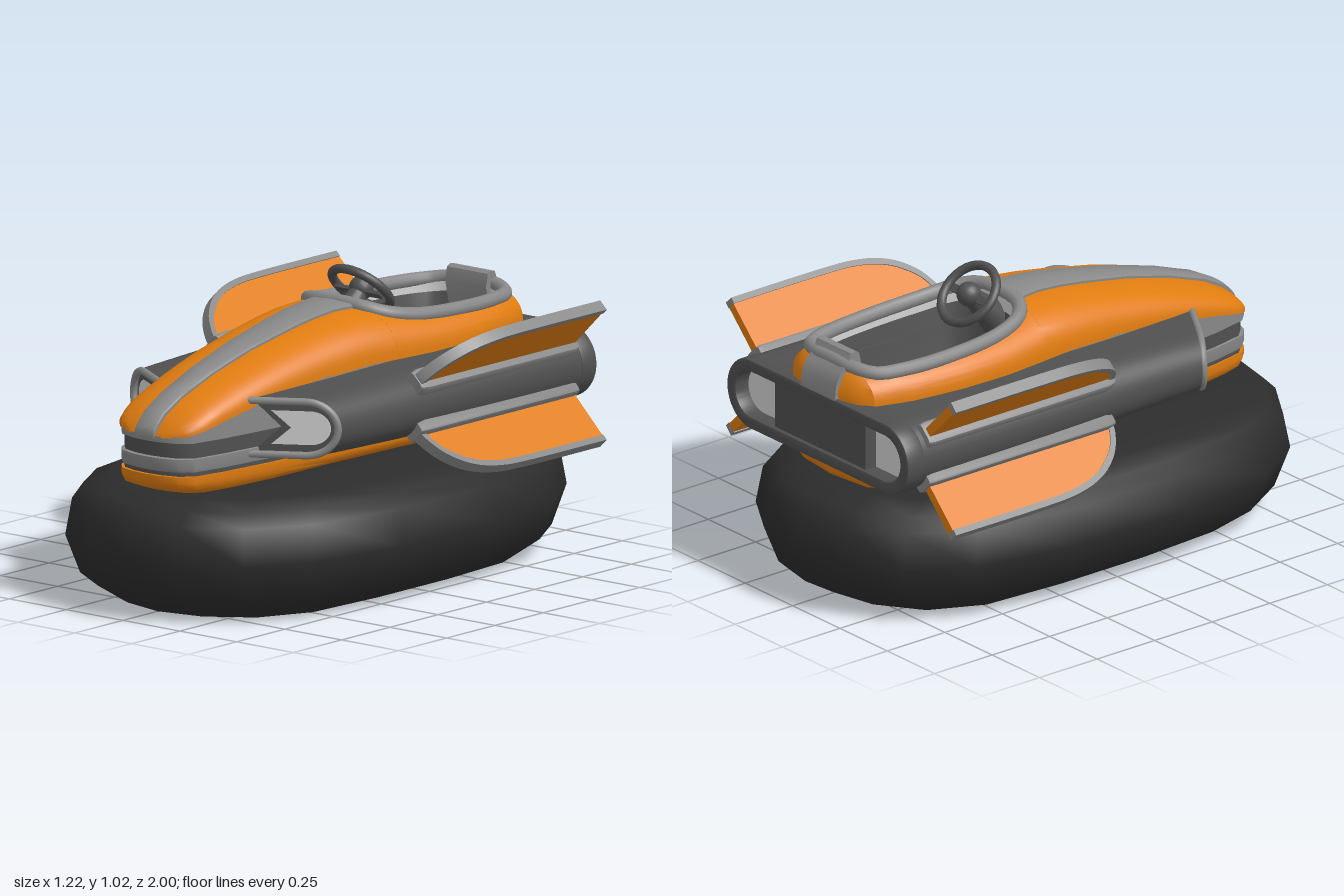
import * as THREE from 'three';
import { toCreasedNormals } from 'three/addons/utils/BufferGeometryUtils.js';

const mat = (name, color) => new THREE.MeshStandardMaterial({ name, color, side: THREE.DoubleSide });
const V = (x, y, z) => new THREE.Vector3(x, y, z);

// piecewise linear lookup in a list of [key, value], keys rising
const table = (pts) => (k) => {
  if (k <= pts[0][0]) return pts[0][1];
  for (let i = 1; i < pts.length; i++) {
    const [a, va] = pts[i - 1], [b, vb] = pts[i];
    if (k <= b) return va + (vb - va) * (k - a) / (b - a);
  }
  return pts[pts.length - 1][1];
};

// grid surface from f(i, j); faces along du x dv
function surf(nu, nv, f, crease = 0.7) {
  const pos = [], idx = [];
  for (let i = 0; i <= nu; i++) for (let j = 0; j <= nv; j++) pos.push(...f(i, j));
  for (let i = 0; i < nu; i++) for (let j = 0; j < nv; j++) {
    const a = i * (nv + 1) + j, b = a + nv + 1;
    idx.push(a, b, a + 1, b, b + 1, a + 1);
  }
  const g = new THREE.BufferGeometry();
  g.setAttribute('position', new THREE.Float32BufferAttribute(pos, 3));
  g.setIndex(idx);
  return toCreasedNormals(g, crease);
}

// half plan outline [x, z] from front to back, mirrored into a loop
const loop = (half) => [...half, ...half.slice(1, -1).reverse().map(([x, z]) => [-x, z]), half[0]];

// stacked plan outlines, rows of [inset, y] from bottom to top
const stack = (outline, rows, crease) => surf(outline.length - 1, rows.length - 1, (i, j) => {
  const [x, z] = outline[i], [inset, y] = rows[j];
  const k = Math.max(0, 1 - inset / Math.hypot(x, z));
  return [x * k, typeof y === 'function' ? y(z) : y, z * k];
}, crease);

// hood dimensions along z
const hoodW = table([[-0.88, 0.1], [-0.86, 0.17], [-0.82, 0.215], [-0.7, 0.255], [-0.5, 0.28], [-0.3, 0.28], [-0.1, 0.265],
  [0.2, 0.235], [0.5, 0.21], [0.75, 0.185], [0.82, 0.17], [0.86, 0.13], [0.88, 0.07]]);
const hoodLow = table([[-0.5, 0.74], [0, 0.745], [0.25, 0.73], [0.5, 0.7], [0.7, 0.66], [0.88, 0.615]]);
const hoodTop = table([[-0.88, 0.79], [-0.84, 0.85], [-0.75, 0.875], [-0.5, 0.88], [-0.3, 0.885], [-0.1, 0.905], [0.05, 0.9], [0.2, 0.875],
  [0.4, 0.835], [0.6, 0.78], [0.75, 0.725], [0.83, 0.68], [0.87, 0.64], [0.88, 0.62]]);
const N = 2.6;
const hoodY = (x, z) => {
  const r = Math.min(1, Math.abs(x) / hoodW(z));
  return hoodLow(z) + (hoodTop(z) - hoodLow(z)) * Math.pow(1 - Math.pow(r, N), 1 / N);
};
const rimHalf = [[0, -0.1], [0.11, -0.11], [0.17, -0.16], [0.205, -0.27], [0.22, -0.48], [0.205, -0.68], [0.17, -0.78], [0.1, -0.82], [0, -0.825]];
const holeX = table(rimHalf.slice(1, -1).reverse().map(([x, z]) => [z, x]));

export function createModel() {
  const orange = mat('orange paint', 0xe07c10), dark = mat('dark grey', 0x505050), grey = mat('mid grey', 0x888888);
  const rubber = mat('black rubber', 0x2c2c2c), light = mat('pale lamp', 0xd4d4d4);
  const root = new THREE.Group();
  const add = (name, geo, m, parent = root) => {
    const mesh = new THREE.Mesh(geo, m);
    mesh.name = name;
    parent.add(mesh);
    return mesh;
  };

  // inflated skirt
  const skirt = loop([[0, 1], [0.2, 0.96], [0.39, 0.84], [0.52, 0.63], [0.592, 0.25],
    [0.592, -0.25], [0.52, -0.63], [0.39, -0.84], [0.2, -0.96], [0, -1]]);
  add('airCushion', stack(skirt, [[2, 0], [0.18, 0], [0.055, 0.075], [0, 0.21], [0.025, 0.335], [0.07, 0.38], [0.16, 0.41], [2, 0.41]], 1.2), rubber);

  // hull layers sharing one plan outline
  const hull = loop([[0, 0.885], [0.06, 0.88], [0.12, 0.862], [0.16, 0.82], [0.185, 0.7], [0.21, 0.5], [0.235, 0.2],
    [0.25, -0.2], [0.25, -0.6], [0.225, -0.76], [0.17, -0.83], [0, -0.85]]);
  add('belly', stack(hull, [[2, 0.42], [0.06, 0.42], [0.015, 0.437], [0, 0.46], [0, 0.485], [2, 0.485]]), orange);
  add('bellySeam', stack(hull, [[0.012, 0.48], [0.012, 0.505]]), dark);
  add('lowerNoseBand', stack(hull, [[2, 0.5], [0.005, 0.5], [0, 0.508], [0, 0.545], [0.02, 0.548]]), grey);
  add('noseGroove', stack(hull, [[0.014, 0.54], [0.014, 0.605]]), dark);
  add('upperNoseBand', stack(hull, [[0.02, 0.597], [0, 0.6], [0, (z) => hoodLow(z) + 0.005], [0.03, (z) => hoodLow(z) + 0.008]]), grey);

  // hood halves with the cockpit opening left out
  const stations = [-0.88, -0.87, -0.86, -0.84, -0.8205, -0.82, -0.8, -0.78, -0.73, -0.68, -0.58, -0.48, -0.38, -0.27, -0.21, -0.16, -0.13,
    -0.11, -0.1095, 0, 0.1, 0.2, 0.3, 0.4, 0.5, 0.6, 0.7, 0.75, 0.79, 0.83, 0.85, 0.87, 0.88];
  for (const s of [1, -1]) add('hood', surf(stations.length - 1, 16, (i, j) => {
    const z = stations[i], w = hoodW(z), inner = z <= -0.11 && z >= -0.82 ? holeX(z) : 0;
    const t = s > 0 ? j / 16 : 1 - j / 16;
    const x = inner + (w - inner) * Math.sin(t * Math.PI / 2);
    return [s * x, hoodY(x, z), z];
  }), orange);

  // raised spine on the hood
  const across = [[-1, -0.01], [-1, 0.008], [-0.85, 0.014], [0, 0.016], [0.85, 0.014], [1, 0.008], [1, -0.01]];
  const spineZ = [-0.11, -0.05, 0, 0.1, 0.2, 0.3, 0.4, 0.5, 0.6, 0.7, 0.75, 0.79, 0.83, 0.86, 0.875, 0.88];
  add('spine', surf(spineZ.length, 6, (i, j) => {
    const z = spineZ[Math.min(i, spineZ.length - 1)], [k, lift] = across[j];
    const hw = table([[-0.11, 0.1], [-0.03, 0.08], [0.1, 0.073], [0.5, 0.053], [0.88, 0.042]])(z);
    return [k * hw, i === spineZ.length ? 0.61 : hoodY(k * hw, z) + lift, z + Math.max(0, z - 0.7) * 0.06];
  }), grey);

  // cockpit rim, lining and tub
  const rim = new THREE.CatmullRomCurve3(loop(rimHalf).slice(0, -1).map(([x, z]) => V(x, hoodY(x, z) + 0.004, z)), true);
  add('cockpitRim', new THREE.TubeGeometry(rim, 64, 0.025, 10, true), grey);
  const ring = rim.getPoints(48);
  const tub = (i, k, d) => [ring[i].x * k, ring[i].y + (0.63 - ring[i].y) * d, (ring[i].z + 0.46) * k - 0.46];
  add('cockpitLining', surf(48, 1, (i, j) => tub(i, 0.94, j * 0.2)), light);
  const tubRows = [[1, 0], [0.95, 0.2], [0.9, 0.6], [0.82, 1], [0, 1]];
  add('cockpitTub', surf(48, 4, (i, j) => tub(i, ...tubRows[j])), dark);

  // strap behind the cockpit
  const strap = new THREE.Shape([[-0.775, 0.85], [-0.785, 0.895], [-0.8, 0.903], [-0.82, 0.9], [-0.835, 0.865],
    [-0.865, 0.84], [-0.885, 0.8], [-0.892, 0.74], [-0.8, 0.74]].map(([x, y]) => new THREE.Vector2(x, y)));
  const strapGeo = new THREE.ExtrudeGeometry(strap, { depth: 0.18, bevelEnabled: false });
  add('rearStrap', toCreasedNormals(strapGeo.translate(0, 0, -0.09).rotateY(-Math.PI / 2), 0.6), grey);

  // steering wheel
  const wheel = new THREE.Group();
  wheel.name = 'steeringWheel';
  wheel.position.set(0, 0.93, -0.235);
  wheel.rotation.x = -Math.PI / 4;
  root.add(wheel);
  add('wheelRing', new THREE.TorusGeometry(0.11, 0.016, 10, 32).rotateX(Math.PI / 2), dark, wheel);
  add('wheelSpoke', new THREE.BoxGeometry(0.2, 0.012, 0.028).translate(0, -0.015, 0), dark, wheel);
  add('wheelHub', new THREE.SphereGeometry(0.042, 20, 12), dark, wheel);
  add('steeringColumn', new THREE.CylinderGeometry(0.03, 0.06, 0.16, 20).translate(0, -0.09, 0), dark, wheel);

  // C-shaped side pod section, in [x, y] around the pod axis
  const podPoint = (t, x0, r, xc) => {
    if (t < 0.2) return [x0 + (xc - x0) * t / 0.2, r];
    if (t > 0.8) return [x0 + (xc - x0) * (1 - t) / 0.2, -r];
    const a = Math.PI / 2 - (t - 0.2) / 0.6 * Math.PI;
    return [xc + r * Math.cos(a), r * Math.sin(a)];
  };
  const frontZ = (x) => 0.57 - 0.62 * (x - 0.2);
  const podY = 0.624;
  for (const s of [1, -1]) {
    add('sidePod', surf(12, 30, (i, j) => {
      const u = i / 12, r = 0.124 - 0.026 * u * u;
      const [x, y] = podPoint((s > 0 ? j : 30 - j) / 30, 0.19, r, 0.352 + 0.006 * u);
      return [s * x, podY - 0.004 * u + y, -0.86 + (frontZ(x) + 0.86) * u];
    }), dark);
    // slanted lamp plates
    const plate = (x0, r, xc, back) => surf(1, 30, (i, j) => {
      const [x, y] = podPoint((s > 0 ? 30 - j : j) / 30, x0, r, xc);
      const px = i ? x : (x0 + xc) / 2;
      return [s * px, podY - 0.004 + (i ? y : 0), frontZ(px) - back];
    });
    add('lampRecess', plate(0.18, 0.098, 0.358, 0.03), dark);
    add('headlamp', plate(0.25, 0.058, 0.365, 0.012), light);
    const edge = [...Array(25).keys()].map((i) => {
      const [x, y] = podPoint(i / 24, 0.19, 0.092, 0.358);
      return V(s * x, podY - 0.004 + y, frontZ(x));
    });
    add('lampRim', new THREE.TubeGeometry(new THREE.CatmullRomCurve3(edge), 48, 0.013, 8), grey);
  }

  // rear frame with lit pockets
  const stadium = (Type, hw, r) => {
    const p = new Type();
    p.absarc(hw - r, 0, r, -Math.PI / 2, Math.PI / 2);
    p.absarc(r - hw, 0, r, Math.PI / 2, Math.PI * 1.5);
    p.closePath();
    return p;
  };
  const frame = stadium(THREE.Shape, 0.472, 0.118);
  frame.holes.push(stadium(THREE.Path, 0.442, 0.09));
  const frameGeo = new THREE.ExtrudeGeometry(frame, { depth: 0.06, bevelSize: 0.008, bevelThickness: 0.008, bevelSegments: 2, curveSegments: 16 });
  add('rearFrame', toCreasedNormals(frameGeo, 0.6).translate(0, podY, -0.885), dark);
  add('rearPanel', new THREE.BoxGeometry(0.48, 0.19, 0.06).translate(0, podY, -0.85), dark);
  add('rearGlow', new THREE.ExtrudeGeometry(stadium(THREE.Shape, 0.45, 0.1), { depth: 0.008, bevelEnabled: false }).translate(0, podY, -0.835), light);

  // four diagonal fins
  const tip = new THREE.SplineCurve([[0.02, 0.01], [0.07, 0.0], [0.14, -0.045], [0.2, -0.13], [0.232, -0.25], [0.24, -0.42], [0.24, -0.79]]
    .map(([x, y]) => new THREE.Vector2(x, y))).getPoints(24);
  const inside = tip.map((p, i) => new THREE.Vector2(p.x - 0.022 * Math.min(1, i / 10), p.y - 0.025 * Math.max(0, 1 - i / 16)));
  const slab = (pts, t) => toCreasedNormals(new THREE.ExtrudeGeometry(new THREE.Shape(pts),
    { depth: t, bevelEnabled: false }).translate(0, 0, -t / 2).rotateX(Math.PI / 2), 0.6);
  const panel = slab([new THREE.Vector2(0, -0.79), new THREE.Vector2(0, -0.015), ...inside], 0.032);
  const trim = slab([...tip, ...inside.slice().reverse()], 0.04);
  const rail = surf(5, 12, (i, j) => {
    const z = [-0.8, -0.8, -0.78, -0.02, 0.012, 0.012][i], k = [0, 0.9, 1, 1, 0.8, 0][i], a = -(j + 0.5) / 12 * Math.PI * 2;
    const sq = (c) => Math.sign(c) * Math.pow(Math.abs(c), 0.4);
    return [0.02 + k * 0.03 * sq(Math.cos(a)), k * 0.044 * sq(Math.sin(a)), z];
  });
  for (const s of [1, -1]) for (const up of [1, -1]) {
    const fin = new THREE.Group();
    fin.name = 'fin';
    fin.position.set(s * 0.425, podY + up * 0.068, 0);
    fin.rotation.z = s > 0 ? up * Math.PI / 4 : Math.PI - up * Math.PI / 4;
    root.add(fin);
    add('finPanel', panel, orange, fin);
    add('finTrim', trim, grey, fin);
    add('finRail', rail, grey, fin);
  }
  return root;
}
